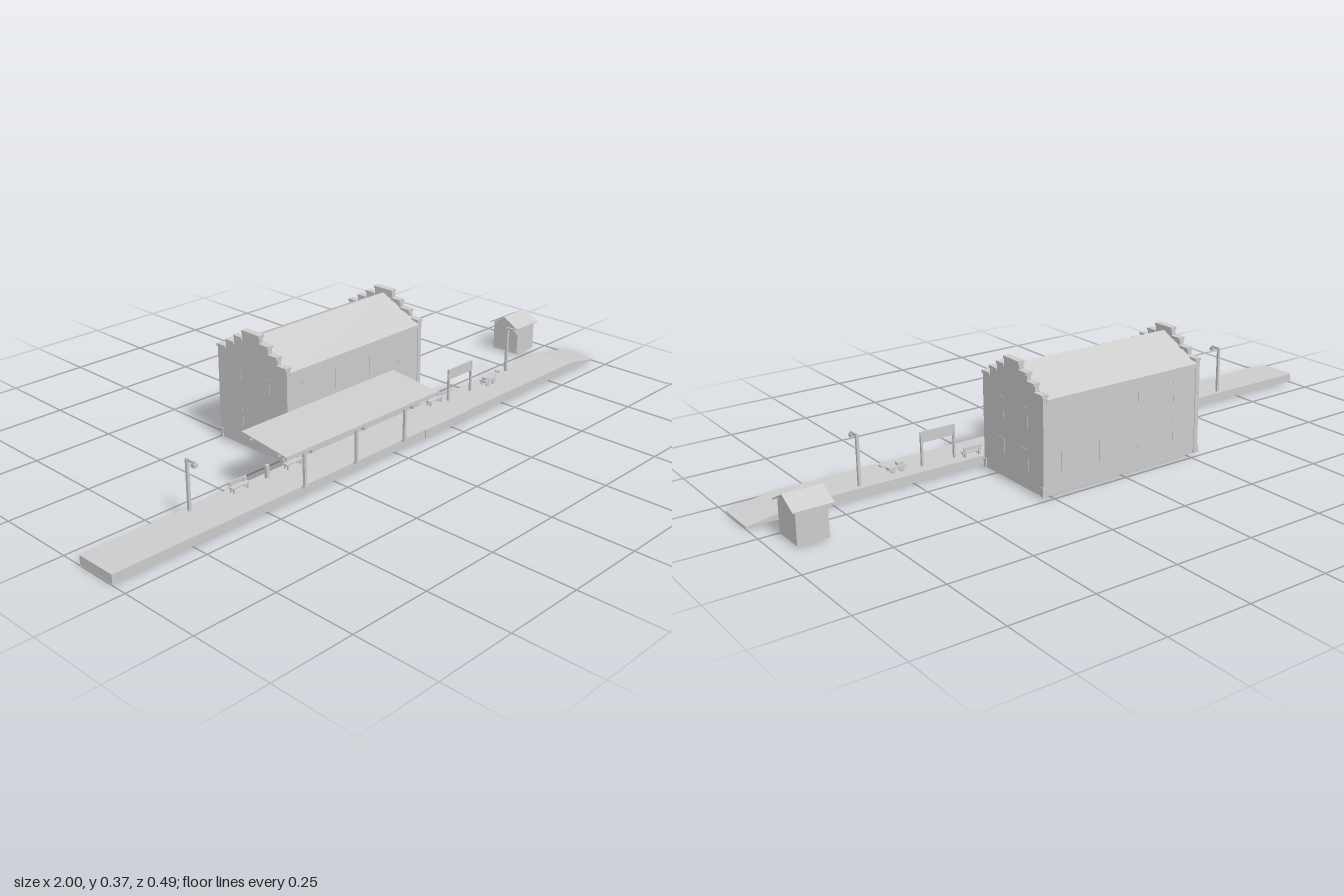
import * as THREE from 'three';

const stone = new THREE.MeshStandardMaterial({ color: 0xcccccc });
stone.name = 'plain grey';

function add(parent, name, geo) {
  const m = new THREE.Mesh(geo, stone);
  m.name = name;
  parent.add(m);
  return m;
}

// Box given by its extents on each axis
function box(parent, name, x0, x1, y0, y1, z0, z1) {
  const g = new THREE.BoxGeometry(x1 - x0, y1 - y0, z1 - z0);
  g.translate((x0 + x1) / 2, (y0 + y1) / 2, (z0 + z1) / 2);
  return add(parent, name, g);
}

function prism(pts, depth) {
  const s = new THREE.Shape(pts.map(p => new THREE.Vector2(p[0], p[1])));
  return new THREE.ExtrudeGeometry(s, { depth, bevelEnabled: false });
}

// Profile of [z, y] points swept along x
function sweepX(parent, name, pts, x0, x1) {
  const g = prism(pts, x1 - x0);
  g.rotateY(-Math.PI / 2);
  g.translate(x1, 0, 0);
  return add(parent, name, g);
}

function group(parent, name) {
  const g = new THREE.Group();
  g.name = name;
  parent.add(g);
  return g;
}

function makePlatform(root) {
  const p = group(root, 'platform');
  const slab = prism([[-1, 0.004], [1, 0.004], [1, 0.007], [0.95, 0.015], [0.87, 0.03], [-1, 0.03]], 0.13);
  slab.translate(0, 0, 0.07);
  add(p, 'platformSlab', slab);
  box(p, 'platformEdge', 0.13, 0.33, 0.004, 0.03, 0.2, 0.203);
}

function makeStation(root) {
  const s = group(root, 'stationBuilding');
  const mid = -0.097;
  // Body with its pitched roof
  sweepX(s, 'walls', [[0.045, 0.008], [0.045, 0.28], [mid, 0.348], [-0.239, 0.28], [-0.239, 0.008]], -0.27, 0.27);
  for (const d of [1, -1]) {
    const edge = mid + d * 0.146;
    sweepX(s, 'roofSlope', [[edge, 0.28], [edge, 0.285], [mid, 0.353], [mid, 0.347]], -0.268, 0.268);
    box(s, 'gutter', -0.27, 0.27, 0.274, 0.283, Math.min(edge, edge - d * 0.006), Math.max(edge, edge - d * 0.006));
  }
  // Stepped gables with a coping on every step
  const steps = [[0.144, 0.3], [0.107, 0.323], [0.071, 0.345], [0.036, 0.368]];
  const profile = [[mid - 0.144, 0.008], [mid + 0.144, 0.008]];
  steps.forEach(([w, y], i) => {
    profile.push([mid + w, y]);
    if (i < 3) profile.push([mid + steps[i + 1][0], y]);
  });
  [...steps].reverse().forEach(([w, y], i) => {
    profile.push([mid - w, y]);
    if (i < 3) profile.push([mid - steps[2 - i][0], steps[2 - i][1] - 0 === y ? y : steps[2 - i][1]]);
  });
  // Drop the slanting corners so that every riser is upright
  const outline = [];
  profile.slice(0, 9).forEach(p => outline.push(p));
  outline.slice(1).reverse().forEach(p => outline.push([2 * mid - p[0], p[1]]));
  outline.shift();
  for (const d of [1, -1]) {
    const a = d > 0 ? 0.266 : -0.28, b = d > 0 ? 0.28 : -0.266;
    sweepX(s, 'steppedGable', outline, a, b);
    steps.forEach(([w, y], i) => {
      const inner = i < 3 ? steps[i + 1][0] : 0;
      for (const e of i < 3 ? [1, -1] : [0]) {
        const z0 = e === 0 ? -w : Math.min(e * w, e * inner);
        const z1 = e === 0 ? w : Math.max(e * w, e * inner);
        box(s, 'coping', a - 0.004, b + 0.004, y - 0.008, y, mid + z0, mid + z1);
      }
    });
    // Corner plinths
    for (const z of [0.042, -0.236]) {
      box(s, 'plinth', d > 0 ? 0.265 : -0.283, d > 0 ? 0.283 : -0.265, 0.008, 0.035, z - 0.006, z + 0.006);
    }
    // Gable windows
    for (const y of [0.065, 0.185]) {
      for (const z of [-0.04, -0.155]) {
        box(s, 'gableWindow', d * 0.28 - 0.001, d * 0.28 + 0.001, y, y + 0.06, z - 0.015, z + 0.015);
      }
    }
  }
  // Window plates on both long walls, and door thresholds
  for (const x of [-0.2, -0.07, 0.07, 0.2]) {
    for (const z of [0.045, -0.239]) {
      for (const y of [0.07, 0.185]) {
        box(s, 'window', x - 0.018, x + 0.018, y, y + 0.06, z - 0.001, z + 0.001);
      }
    }
    box(s, 'threshold', x - 0.03, x + 0.03, 0, 0.009, 0.037, 0.039);
  }
}

function makeCanopy(root) {
  const c = group(root, 'canopy');
  sweepX(c, 'canopyRoof', [[0.243, 0.162], [0.243, 0.165], [0.07, 0.184], [0.07, 0.181]], -0.47, 0.13);
  box(c, 'frontFascia', -0.47, 0.13, 0.155, 0.165, 0.237, 0.243);
  box(c, 'frontPurlin', -0.468, 0.128, 0.154, 0.165, 0.203, 0.211);
  box(c, 'rearPurlin', -0.468, 0.128, 0.166, 0.176, 0.094, 0.102);
  for (const x of [-0.37, -0.17, 0.03]) {
    box(c, 'crossBeam', x - 0.004, x + 0.004, 0.142, 0.16, 0.068, 0.24);
    box(c, 'post', x - 0.004, x + 0.004, 0.03, 0.145, 0.203, 0.211);
    box(c, 'postFoot', x - 0.006, x + 0.006, 0.03, 0.034, 0.2, 0.213);
    box(c, 'rearStrut', x - 0.003, x + 0.003, 0.158, 0.182, 0.07, 0.078);
  }
}

function makeLamp(root, x) {
  const l = group(root, 'lamp');
  box(l, 'lampPost', x - 0.004, x + 0.004, 0.03, 0.178, 0.083, 0.091);
  box(l, 'lampArm', x - 0.003, x + 0.003, 0.174, 0.181, 0.083, 0.119);
  box(l, 'lampHead', x - 0.006, x + 0.006, 0.165, 0.176, 0.109, 0.123);
}

function makeBench(root, x) {
  const b = group(root, 'bench');
  box(b, 'seat', x - 0.031, x + 0.031, 0.043, 0.047, 0.085, 0.102);
  box(b, 'backrest', x - 0.031, x + 0.031, 0.051, 0.061, 0.084, 0.087);
  for (const d of [-0.024, 0.024]) {
    box(b, 'backLeg', x + d - 0.003, x + d + 0.003, 0.03, 0.058, 0.085, 0.089);
    box(b, 'frontLeg', x + d - 0.003, x + d + 0.003, 0.03, 0.044, 0.097, 0.101);
  }
}

function makeSignboard(root) {
  const s = group(root, 'signboard');
  box(s, 'board', 0.34, 0.455, 0.1, 0.133, 0.107, 0.111);
  for (const x of [0.344, 0.451]) box(s, 'boardPost', x - 0.003, x + 0.003, 0.03, 0.131, 0.105, 0.112);
}

function makeTrolley(root) {
  const t = group(root, 'luggageTrolley');
  box(t, 'bed', 0.505, 0.56, 0.044, 0.05, 0.104, 0.128);
  box(t, 'load', 0.51, 0.53, 0.05, 0.058, 0.109, 0.123);
  for (const x of [0.518, 0.547]) {
    for (const z of [0.106, 0.126]) {
      const w = new THREE.CylinderGeometry(0.008, 0.008, 0.004, 12);
      w.rotateX(Math.PI / 2);
      w.translate(x, 0.038, z);
      add(t, 'wheel', w);
    }
  }
  const pull = box(t, 'handle', -0.014, 0.014, -0.0015, 0.0015, -0.003, 0.003);
  pull.position.set(0.57, 0.054, 0.116);
  pull.rotation.z = 0.4;
  box(t, 'handleBar', 0.578, 0.582, 0.056, 0.062, 0.108, 0.124);
}

function makeHut(root) {
  const h = group(root, 'hut');
  sweepX(h, 'hutWalls', [[-0.013, 0.006], [-0.013, 0.1], [-0.063, 0.129], [-0.113, 0.1], [-0.113, 0.006]], 0.855, 0.945);
  sweepX(h, 'hutRoof', [[-0.005, 0.099], [-0.005, 0.102], [-0.063, 0.133], [-0.121, 0.102], [-0.121, 0.099], [-0.063, 0.129]], 0.84, 0.955);
  box(h, 'hutThreshold', 0.86, 0.9, 0.002, 0.01, -0.013, -0.011);
}

export function createModel() {
  const root = new THREE.Group();
  root.name = 'railwayStation';
  makePlatform(root);
  makeStation(root);
  makeCanopy(root);
  for (const x of [-0.67, 0.662]) makeLamp(root, x);
  for (const x of [-0.503, -0.306, 0.296]) makeBench(root, x);
  box(root, 'litterBin', -0.408, -0.398, 0.03, 0.068, 0.088, 0.098);
  makeSignboard(root);
  makeTrolley(root);
  makeHut(root);
  return root;
}
